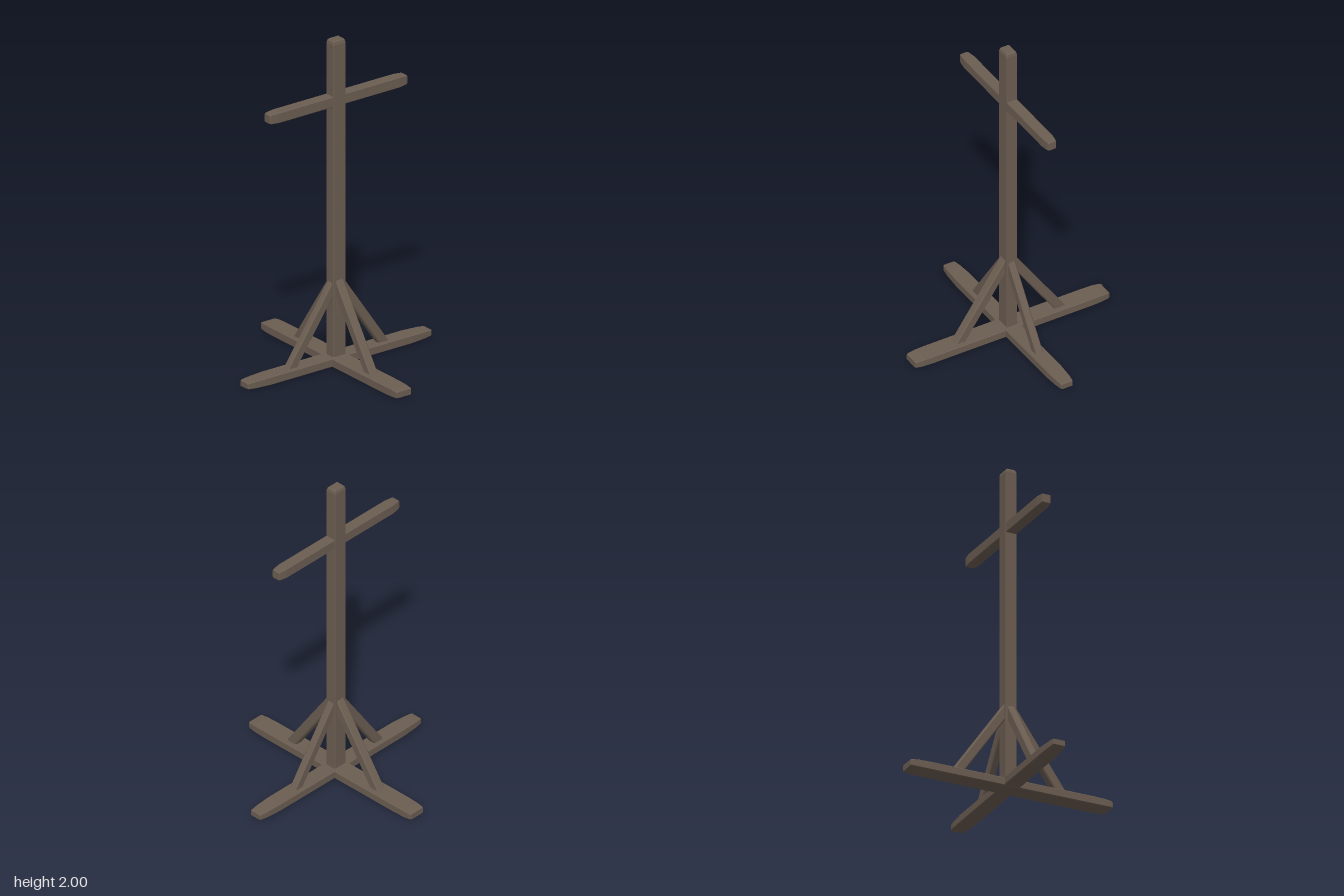
import * as THREE from 'three';

const wood = new THREE.MeshStandardMaterial({ color: 0x6b5d51, flatShading: true });
wood.name = 'weathered wood';

// Timber lofted along +y from stations [y, halfX, halfZ] with chamfered long edges
function timber(name, stations, chamfer = 0.006) {
  const pos = [];
  const rings = stations.map(([y, a, b]) => {
    const c = chamfer;
    return [[a, b - c], [a - c, b], [c - a, b], [-a, b - c],
      [-a, c - b], [c - a, -b], [a - c, -b], [a, c - b]].map(([x, z]) => [x, y, z]);
  });
  const tri = (...pts) => pts.forEach((p) => pos.push(...p));
  for (let i = 0; i < rings.length - 1; i++) {
    for (let j = 0; j < 8; j++) {
      const k = (j + 1) % 8;
      const [a, b, c, d] = [rings[i][j], rings[i][k], rings[i + 1][k], rings[i + 1][j]];
      tri(a, c, b);
      tri(a, d, c);
    }
  }
  const first = rings[0], last = rings[rings.length - 1];
  for (let j = 1; j < 7; j++) {
    tri(first[0], first[j], first[j + 1]);
    tri(last[0], last[j + 1], last[j]);
  }
  const geo = new THREE.BufferGeometry();
  geo.setAttribute('position', new THREE.Float32BufferAttribute(pos, 3));
  geo.computeVertexNormals();
  const mesh = new THREE.Mesh(geo, wood);
  mesh.name = name;
  return mesh;
}

// Mirror half of a station list [y, a, b] to make a symmetric beam
const symmetric = (half) => [
  ...half.map(([y, a, b]) => [-y, a, b]).reverse(),
  ...half,
];

export function createModel() {
  const group = new THREE.Group();
  group.name = 'woodenStand';

  // Upright with a softened top
  group.add(timber('post', [
    [0.02, 0.045, 0.035], [1.975, 0.045, 0.035], [1.992, 0.041, 0.031], [2, 0.033, 0.024],
  ], 0.004));

  // Crossbar: local x becomes height, local y becomes x
  const bar = timber('crossbar', symmetric([
    [0.43, 0.032, 0.034], [0.48, 0.029, 0.028], [0.49, 0.025, 0.024],
  ]), 0.004);
  bar.rotation.z = -Math.PI / 2;
  bar.position.y = 1.628;
  group.add(bar);

  // Base foot running side to side
  const footX = timber('sideFoot', symmetric([
    [0.5, 0.025, 0.05], [0.6, 0.022, 0.045], [0.647, 0.019, 0.039], [0.655, 0.016, 0.035],
  ]), 0.004);
  footX.rotation.z = -Math.PI / 2;
  footX.position.y = 0.031;
  group.add(footX);

  // Base foot running front to back
  const footZ = timber('frontBackFoot', symmetric([
    [0.52, 0.059, 0.025], [0.59, 0.057, 0.024], [0.632, 0.053, 0.021], [0.642, 0.048, 0.018],
  ]), 0.004);
  footZ.rotation.x = Math.PI / 2;
  footZ.position.y = 0.027;
  group.add(footZ);

  // Four diagonal braces, each leaning from its foot to the post
  const low = new THREE.Vector2(0.345, 0.025), high = new THREE.Vector2(0.012, 0.508);
  const run = high.clone().sub(low);
  ['leftBrace', 'frontBrace', 'rightBrace', 'backBrace'].forEach((name, i) => {
    const width = i % 2 ? 0.028 : 0.023;
    const brace = timber(name, [[0, 0.029, width], [run.length(), 0.029, width]], 0.007);
    brace.rotation.z = Math.atan2(-run.x, run.y);
    brace.position.set(low.x, low.y, 0);
    const arm = new THREE.Group();
    arm.name = name + 'Arm';
    arm.rotation.y = -i * Math.PI / 2;
    arm.add(brace);
    group.add(arm);
  });

  return group;
}
